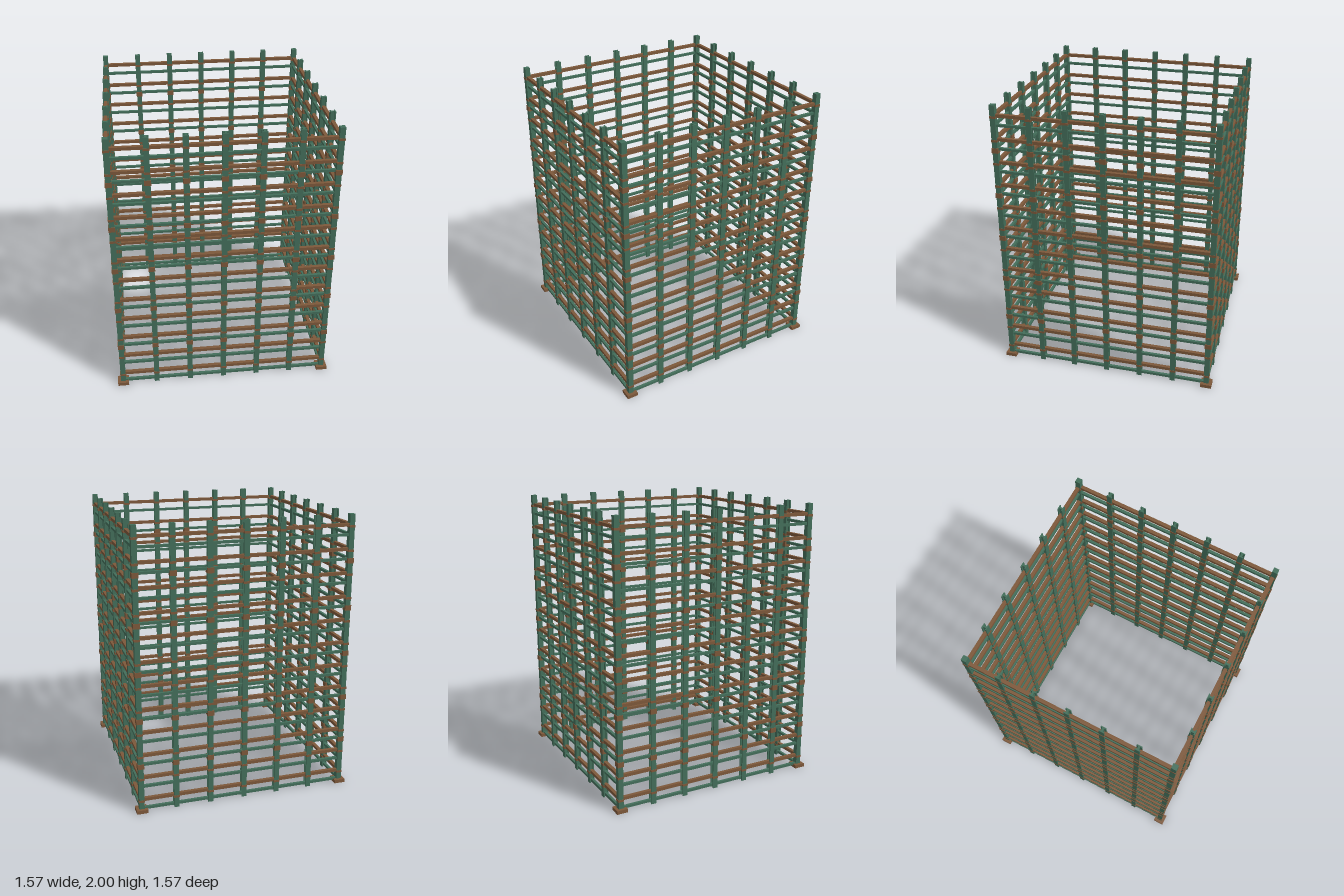
import * as THREE from 'three';

export function createModel() {
  const model = new THREE.Group();
  model.name = 'latticeEnclosure';

  const mat = (name, color) => {
    const m = new THREE.MeshStandardMaterial({ color });
    m.name = name;
    return m;
  };
  const green = mat('green paint', 0x436e5a);
  const brown = mat('brown rust', 0x7d583a);

  const R = 0.747;          // distance from the centre to each wall line
  const POST = 0.037;       // post width
  const STEP = 1 / 6;       // vertical rail spacing
  const PITCH = R / 3;      // post spacing

  const box = (parent, name, material, w, h, d, x, y, z) => {
    const mesh = new THREE.Mesh(new THREE.BoxGeometry(w, h, d), material);
    mesh.name = name;
    mesh.position.set(x, y, z);
    parent.add(mesh);
  };

  // I-beam section for the intermediate posts, flanges facing in and out
  const a = POST / 2, web = 0.007, f = a - 0.008;
  const section = new THREE.Shape([
    [-a, -a], [a, -a], [a, -f], [web, -f], [web, f], [a, f],
    [a, a], [-a, a], [-a, f], [-web, f], [-web, -f], [-a, -f],
  ].map(([x, y]) => new THREE.Vector2(x, y)));
  const beamGeometry = new THREE.ExtrudeGeometry(section, { depth: 2, bevelEnabled: false });
  beamGeometry.rotateX(-Math.PI / 2);

  // Four identical walls; each owns one corner post
  for (let side = 0; side < 4; side++) {
    const wall = new THREE.Group();
    wall.name = ['frontWall', 'leftWall', 'backWall', 'rightWall'][side];
    wall.rotation.y = side * Math.PI / 2;
    model.add(wall);

    // Corner post on its foot plate
    box(wall, 'cornerPost', green, POST, 2, POST, -R, 1, R);
    box(wall, 'footPlate', brown, 0.08, 0.025, 0.08, -R, 0.0125, R);

    for (let i = 0; i < 6; i++) {
      const x = -R + i * PITCH;
      // Intermediate posts
      if (i > 0) {
        const post = new THREE.Mesh(beamGeometry, green);
        post.name = 'post';
        post.position.set(x, 0, R);
        wall.add(post);
      }
      // Small bracket under every brown rail
      for (let k = 0; k < 12; k++) {
        box(wall, 'bracket', brown, 0.042, 0.016, 0.042, x, 0.083 + k * STEP, R);
      }
      // Large collar at every second level
      for (let k = 1; k <= 5; k++) {
        box(wall, 'collar', brown, 0.045, 0.036, 0.045, x, 0.014 + k * 2 * STEP, R);
      }
    }

    // Horizontal rails
    for (let k = 0; k < 12; k++) {
      box(wall, 'greenRail', green, 2 * R, 0.018, 0.02, 0, 0.025 + k * STEP, R);
      box(wall, 'brownRail', brown, 2 * R + 0.036, 0.022, 0.025, 0, 0.093 + k * STEP, R);
    }
  }
  return model;
}
